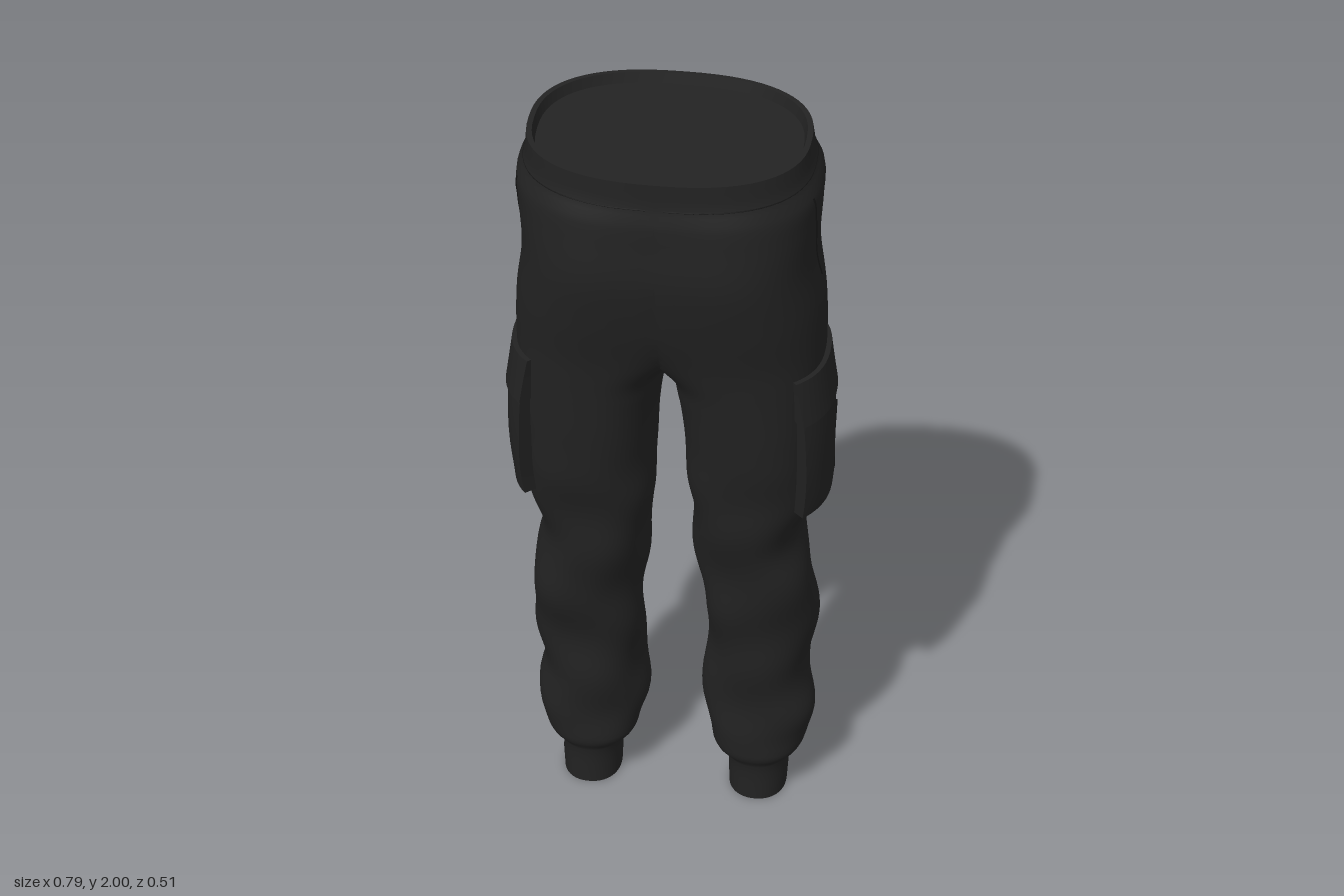
import * as THREE from 'three';
import { toCreasedNormals } from 'three/addons/utils/BufferGeometryUtils.js';

const { smoothstep, degToRad } = THREE.MathUtils;
const SEG = 72;

// Half-garment sections: y, outer x, inner x, x of the front/back crest, front z, back z
const SECTIONS = [
  [0.00, 0.295, 0.145, 0.220, 0.020, -0.160],
  [0.06, 0.298, 0.142, 0.220, 0.020, -0.165],
  [0.115, 0.302, 0.135, 0.218, 0.025, -0.170],
  [0.14, 0.328, 0.108, 0.218, 0.040, -0.185],
  [0.20, 0.348, 0.092, 0.218, 0.043, -0.195],
  [0.28, 0.362, 0.076, 0.218, 0.046, -0.213],
  [0.36, 0.346, 0.078, 0.212, 0.050, -0.220],
  [0.50, 0.354, 0.082, 0.215, 0.062, -0.212],
  [0.65, 0.357, 0.082, 0.215, 0.092, -0.195],
  [0.76, 0.342, 0.064, 0.205, 0.108, -0.188],
  [0.86, 0.322, 0.052, 0.190, 0.122, -0.198],
  [1.00, 0.350, 0.044, 0.195, 0.150, -0.182],
  [1.20, 0.358, 0.033, 0.185, 0.178, -0.187],
  [1.30, 0.360, 0.018, 0.170, 0.188, -0.192],
  [1.36, 0.362, 0.000, 0.155, 0.195, -0.200],
  [1.43, 0.364, -0.090, 0.130, 0.206, -0.216],
  [1.55, 0.358, -0.260, 0.105, 0.235, -0.240],
  [1.68, 0.340, -0.300, 0.095, 0.257, -0.256],
  [1.80, 0.345, -0.300, 0.070, 0.254, -0.242],
  [1.87, 0.346, -0.300, 0.040, 0.250, -0.221],
  [1.905, 0.330, -0.300, 0.020, 0.244, -0.206],
  [1.97, 0.320, -0.300, 0.000, 0.242, -0.183],
];
const profile = new THREE.CubicInterpolant(
  SECTIONS.map(s => s[0]), SECTIONS.flatMap(s => s.slice(1)), 5);

// Point on the cloth: angle 0 = front, 90 degrees = outer side; offset pushes outward
function cloth(side, angle, y, offset = 0) {
  const [xo, xi, xs, zf, zb] = profile.evaluate(y);
  const e = 0.92 - 0.1 * smoothstep(y, 0.15, 1.1);
  const s = Math.sin(angle), c = Math.cos(angle);
  const pow = v => Math.sign(v) * Math.abs(v) ** e;
  const zc = (zf + zb) / 2;
  // soft diagonal folds on the lower legs
  const mask = smoothstep(y, 0.14, 0.26) * (1 - smoothstep(y, 0.95, 1.2));
  const phase = side > 0 ? 0.6 : 2.7;
  const fold = 0.005 * mask * (Math.sin(3 * angle + 15 * y + phase)
    + 0.7 * Math.sin(2 * angle - 27 * y + 2 * phase));
  const out = offset + fold;
  const x = xs + (s > 0 ? xo - xs : xs - xi) * pow(s) + s * out;
  const z = zc + (zf - zb) / 2 * pow(c) + c * out;
  // the waist rises toward the back
  const tilt = 0.14 * smoothstep(y, 1.6, 1.97) * (z - 0.03);
  return new THREE.Vector3(side * Math.max(0, x), y - tilt, z);
}

// Skin a list of point rows; faces lying in the centre plane are left out
function skin(rows, { closed = false, flip = false, seam = false } = {}) {
  const n = rows[0].length, index = [];
  const flat = rows.flat();
  const tri = (a, b, c) => {
    if (seam && [a, b, c].every(i => Math.abs(flat[i].x) < 1e-6)) return;
    index.push(...(flip ? [a, c, b] : [a, b, c]));
  };
  for (let j = 0; j < rows.length - 1; j++) {
    for (let i = 0; i < (closed ? n : n - 1); i++) {
      const k = (i + 1) % n, a = j * n + i, b = j * n + k;
      tri(a, b, b + n);
      tri(a, b + n, a + n);
    }
  }
  const geo = new THREE.BufferGeometry().setFromPoints(flat);
  geo.setIndex(index);
  geo.computeVertexNormals();
  if (seam) {
    const nor = geo.attributes.normal;
    flat.forEach((p, i) => {
      if (Math.abs(p.x) > 1e-6) return;
      const l = Math.hypot(nor.getY(i), nor.getZ(i)) || 1;
      nor.setXYZ(i, 0, nor.getY(i) / l, nor.getZ(i) / l);
    });
  }
  return geo;
}

const range = (a, b, n) => Array.from({ length: n + 1 }, (_, i) => a + (b - a) * i / n);

export function createModel() {
  const fabric = new THREE.MeshStandardMaterial({ color: 0x222222, side: THREE.DoubleSide });
  fabric.name = 'black fabric';
  const stitch = new THREE.MeshStandardMaterial({ color: 0x161616 });
  stitch.name = 'dark stitching';
  const group = new THREE.Group();
  group.name = 'cargoTrousers';
  const add = (name, geo, mat = fabric) => {
    const mesh = new THREE.Mesh(geo, mat);
    mesh.name = name;
    group.add(mesh);
  };

  // Recessed lining that closes an opening
  const lining = (name, ring, depth) => {
    const mid = ring.reduce((m, p) => m.add(p), new THREE.Vector3()).divideScalar(ring.length);
    const inset = (k, d) => ring.map(p => {
      const q = mid.clone().lerp(p, k);
      q.y += d;
      return q;
    });
    const rows = [inset(1, 0), inset(0.96, 0), inset(0.94, depth), inset(0.5, depth), inset(0.001, depth)];
    add(name, toCreasedNormals(skin(rows, { closed: true, flip: depth > 0 }), 0.7));
  };

  // Padded patch lying over the cloth, with turned-in edges
  const patch = (name, side, a0, a1, y0, y1, slope, depth) => {
    const us = [0, ...range(0, 1, 20), 1], vs = [0, ...range(0, 1, 10), 1];
    const rows = vs.map((v, j) => us.map((u, i) => {
      const edge = i === 0 || j === 0 || i === us.length - 1 || j === vs.length - 1;
      const y = y0 + (y1 - y0) * v + slope * u * (1 - v);
      return cloth(side, degToRad(a0 + (a1 - a0) * u), y, edge ? -0.012 : depth(v));
    }));
    add(name, toCreasedNormals(skin(rows, { flip: side < 0 }), 0.7));
  };

  // Thin seam following the cloth between two angle/height pairs
  const seamLine = (name, side, a0, y0, a1, y1, offset) => {
    const pts = range(0, 1, 24).map(t => cloth(side,
      degToRad(a0 + (a1 - a0) * t), y0 + (y1 - y0) * t, offset));
    add(name, new THREE.TubeGeometry(new THREE.CatmullRomCurve3(pts), 40, 0.0025, 5), stitch);
  };

  const angles = range(0, Math.PI * 2, SEG).slice(0, SEG);
  const heights = [...range(0, 0.11, 4), ...range(0.12, 0.16, 4), ...range(0.18, 1.28, 50),
    ...range(1.3, 1.46, 16), ...range(1.48, 1.97, 25)];

  for (const side of [1, -1]) {
    const label = side > 0 ? 'left' : 'right';
    add(label + 'Half', skin(heights.map(y => angles.map(a => cloth(side, a, y))),
      { closed: true, flip: side < 0, seam: true }));
    lining(label + 'CuffLining', angles.map(a => cloth(side, a, 0)), 0.03);

    // Cargo pocket with flap and centre pleat
    const bag = v => 0.022 + 0.014 * Math.sin(Math.PI * Math.min(1, 0.25 + v * 0.75));
    patch(label + 'CargoPocket', side, 46, 140, 1.0, 1.34, 0.03, bag);
    patch(label + 'PocketFlap', side, 44, 141, 1.285, 1.40, 0, v => 0.034 - 0.022 * v);
    seamLine(label + 'PocketPleat', side, 93, 1.05, 93, 1.25, 0.033);

    // Slanted hand pocket and waistband stitching
    seamLine(label + 'HandPocket', side, 72, 1.87, 89, 1.61, 0);
    seamLine(label + 'WaistbandSeam', side, 0, 1.905, 180, 1.905, -0.001);
  }

  // Waist lining around the full opening
  const half = side => range(0, Math.PI, SEG / 2).map(a => cloth(side, a, 1.97));
  lining('waistLining', [...half(1), ...half(-1).slice(1, -1).reverse()], -0.025);
  return group;
}
